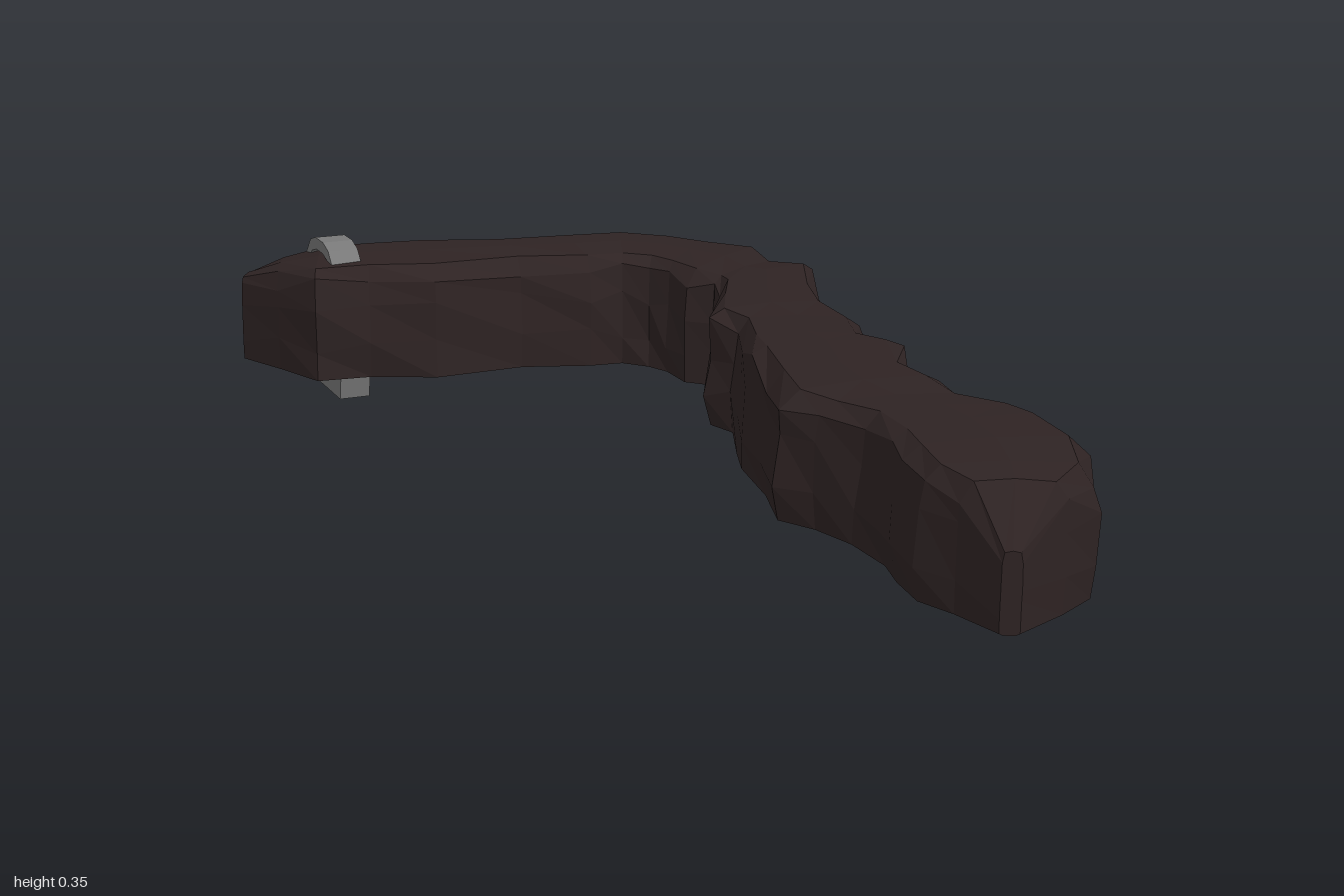
import * as THREE from 'three';

// Stations along the trunk: inner edge x, z, outer edge x, z, top height
const STATIONS = [
  [-0.88, -0.72, -0.86, -0.81, 0.25],
  [-0.78, -0.62, -0.79, -0.82, 0.285],
  [-0.68, -0.52, -0.70, -0.83, 0.312],
  [-0.56, -0.55, -0.60, -0.86, 0.315],
  [-0.41, -0.56, -0.48, -0.90, 0.315],
  [-0.22, -0.65, -0.30, -0.90, 0.315],
  [-0.06, -0.66, -0.15, -0.95, 0.315],
  [0.01, -0.68, 0.00, -0.99, 0.315],
  [0.07, -0.66, 0.12, -0.95, 0.315],
  [0.11, -0.61, 0.22, -0.89, 0.315],
  [0.15, -0.53, 0.34, -0.84, 0.315],
  [0.21, -0.50, 0.37, -0.70, 0.31],
  [0.21, -0.44, 0.46, -0.66, 0.315],
  [0.20, -0.33, 0.46, -0.46, 0.315],
  [0.19, -0.20, 0.48, -0.30, 0.315],
  [0.24, -0.15, 0.53, -0.17, 0.31],
  [0.25, 0.00, 0.54, -0.02, 0.315],
  [0.26, 0.10, 0.605, 0.02, 0.315],
  [0.29, 0.27, 0.61, 0.19, 0.315],
  [0.31, 0.42, 0.66, 0.27, 0.315],
  [0.38, 0.47, 0.70, 0.39, 0.31],
  [0.45, 0.55, 0.79, 0.47, 0.315],
  [0.49, 0.67, 0.83, 0.52, 0.315],
  [0.50, 0.75, 0.88, 0.67, 0.315],
  [0.53, 0.84, 0.87, 0.82, 0.31],
  [0.60, 0.90, 0.80, 0.90, 0.30],
  [0.67, 0.985, 0.71, 0.985, 0.20],
];

// Cross-section: position across (-1 inner, 1 outer), fraction of height
const SECTION = [
  [-0.55, 0], [0.55, 0], [0.93, 0.02], [0.95, 0.3], [1, 0.62], [0.93, 0.86],
  [0.7, 0.98], [0, 1], [-0.7, 0.98], [-0.93, 0.86], [-0.97, 0.62], [-1, 0.3], [-0.97, 0.02],
];
const BASE = 0.048;

function seeded(seed) {
  return () => (seed = (seed * 16807) % 2147483647) / 2147483647;
}

// Loft with slightly irregular sides
function trunkGeometry() {
  const rand = seeded(41), n = SECTION.length, pos = [], index = [];
  STATIONS.forEach(([rx, rz, lx, lz, top]) => {
    SECTION.forEach(([u, h]) => {
      const side = h > 0.01 && h < 0.95;
      const k = side ? u * (1.01 - 0.1 * rand()) : u;
      const lift = side && h > 0.1 ? (rand() - 0.5) * 0.035 : 0;
      const t = (k + 1) / 2;
      pos.push(rx + (lx - rx) * t, BASE + (top - BASE) * h + lift, rz + (lz - rz) * t);
    });
  });
  for (let i = 0; i < STATIONS.length - 1; i++) {
    for (let j = 0; j < n; j++) {
      const a = i * n + j, b = i * n + (j + 1) % n;
      index.push(a, b, b + n, a, b + n, a + n);
    }
  }
  // End caps
  const last = (STATIONS.length - 1) * n;
  for (let j = 1; j < n - 1; j++) {
    index.push(0, j + 1, j, last, last + j, last + j + 1);
  }
  const g = new THREE.BufferGeometry();
  g.setAttribute('position', new THREE.Float32BufferAttribute(pos, 3));
  g.setIndex(index);
  const flat = g.toNonIndexed();
  flat.computeVertexNormals();
  return flat;
}

// Band outline, half of it, mirrored
const OUTER = [[0.13, 0], [0.14, 0.05], [0.15, 0.13], [0.145, 0.22], [0.115, 0.29], [0.07, 0.335], [0.03, 0.347]];
const INNER = [[0.115, 0.045], [0.125, 0.06], [0.135, 0.13], [0.13, 0.21], [0.1, 0.275], [0.06, 0.31], [0.025, 0.32]];

function loop(half) {
  const mirrored = half.map(([x, y]) => [-x, y]).reverse();
  return [...half, ...mirrored].map(([x, y]) => new THREE.Vector2(x, y));
}

export function createModel() {
  const bark = new THREE.MeshStandardMaterial({ color: 0x2e2323, flatShading: true });
  bark.name = 'darkBark';
  const metal = new THREE.MeshStandardMaterial({ color: 0x787878, flatShading: true });
  metal.name = 'greyMetal';

  const model = new THREE.Group();
  model.name = 'bentLog';

  const trunk = new THREE.Mesh(trunkGeometry(), bark);
  trunk.name = 'trunk';
  model.add(trunk);

  // Metal band around the narrow end
  const shape = new THREE.Shape(loop(OUTER));
  shape.holes.push(new THREE.Path(loop(INNER)));
  const bandGeometry = new THREE.ExtrudeGeometry(shape, { depth: 0.07, bevelEnabled: false });
  bandGeometry.translate(0, 0, -0.035);
  const band = new THREE.Mesh(bandGeometry, metal);
  band.name = 'metalBand';
  band.position.set(-0.657, 0, -0.697);
  band.rotation.y = -Math.PI / 2 + 0.42;
  model.add(band);

  return model;
}
